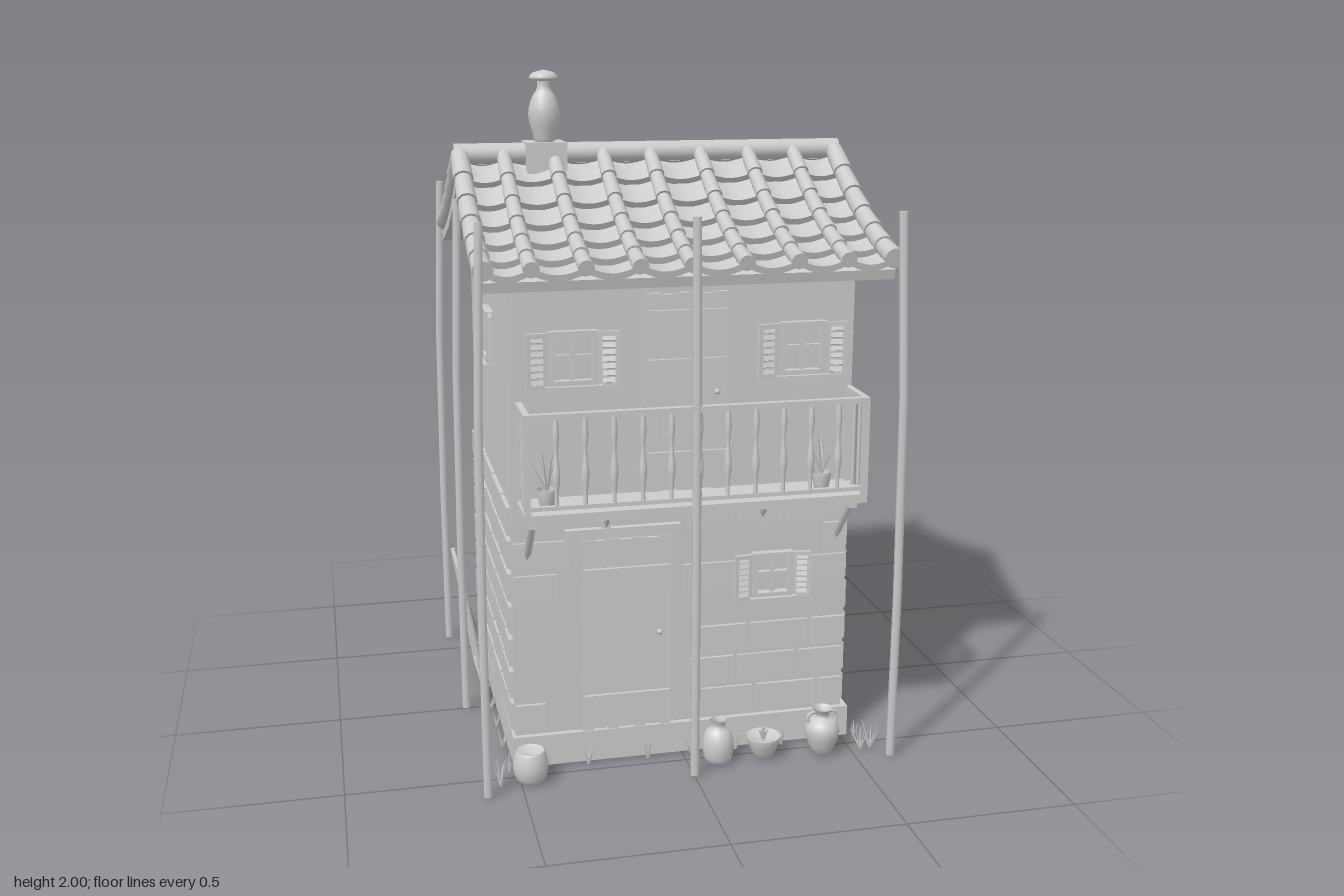
import * as THREE from 'three';
import { toCreasedNormals } from 'three/addons/utils/BufferGeometryUtils.js';

const grey = new THREE.MeshStandardMaterial({ color: 0xcccccc, side: THREE.DoubleSide });
grey.name = 'plain grey';
const V = (x, y, z) => new THREE.Vector3(x, y, z);
let seed = 7;
const rnd = () => (seed = (seed * 16807) % 2147483647) / 2147483647;

function group(name, parent) {
  const g = new THREE.Group();
  g.name = name;
  parent.add(g);
  return g;
}
function add(parent, name, geo, x = 0, y = 0, z = 0) {
  const m = new THREE.Mesh(geo, grey);
  m.name = name;
  m.position.set(x, y, z);
  parent.add(m);
  return m;
}
const box = (p, name, w, h, d, x, y, z) => add(p, name, new THREE.BoxGeometry(w, h, d), x, y, z);
// tapered round or square bar between two points
function beam(p, name, a, b, r0, r1 = r0, sides = 6) {
  const m = add(p, name, new THREE.CylinderGeometry(r1, r0, a.distanceTo(b), sides));
  m.position.copy(a).lerp(b, 0.5);
  m.quaternion.setFromUnitVectors(V(0, 1, 0), b.clone().sub(a).normalize());
  return m;
}
const lathe = (p, name, pts, x, y, z) =>
  add(p, name, new THREE.LatheGeometry(new THREE.SplineCurve(pts.map(q => new THREE.Vector2(...q))).getPoints(14), 16), x, y, z);
// side profile of [z, y] points, extruded along x
function sideExtrude(pts, x0, x1) {
  const geo = new THREE.ExtrudeGeometry(new THREE.Shape(pts.map(q => new THREE.Vector2(...q))), { depth: x1 - x0, bevelEnabled: false });
  return geo.rotateY(-Math.PI / 2).translate(x1, 0, 0);
}

// roof slope centre lines, from ridge to eave
const slopes = [
  new THREE.QuadraticBezierCurve3(V(0, 1.755, 0), V(0, 1.55, 0.285), V(0, 1.485, 0.545)),
  new THREE.QuadraticBezierCurve3(V(0, 1.755, 0), V(0, 1.55, -0.302), V(0, 1.49, -0.595)),
];
// point on a slope at x, raised by d along the slope's normal
function onSlope(c, t, x, d) {
  const p = c.getPoint(t), k = c.getTangent(t), s = Math.sign(k.z);
  return V(x, p.y + d * k.z * s, p.z - d * k.y * s);
}

const ROWS = 6, coverX = [-0.575, -0.445, -0.295, -0.145, 0, 0.155, 0.305, 0.45, 0.585];

function panGeometry(c, x0, x1) {
  const n = 8, pos = [], idx = [];
  for (let r = 0; r < ROWS; r++)
    for (const [f, lift] of [[0, -0.012], [1, 0.008], [1, -0.012]])
      for (let i = 0; i <= n; i++) {
        const u = i / n;
        pos.push(...onSlope(c, (r + f) / ROWS, x0 + (x1 - x0) * u, lift - 0.022 * Math.sin(Math.PI * u)).toArray());
      }
  for (let j = 0; j < ROWS * 3 - 1; j++)
    for (let i = 0; i < n; i++) {
      const a = j * (n + 1) + i, b = a + n + 1;
      if (c === slopes[0]) idx.push(a, b, a + 1, a + 1, b, b + 1);
      else idx.push(a, a + 1, b, a + 1, b + 1, b);
    }
  const g = new THREE.BufferGeometry();
  g.setAttribute('position', new THREE.Float32BufferAttribute(pos, 3));
  g.setIndex(idx);
  return toCreasedNormals(g, 0.6);
}

function buildRoof(root) {
  const roof = group('roof', root);
  for (const c of slopes) {
    const ts = [0, 0.2, 0.4, 0.6, 0.8, 0.985];
    const flat = (t, d) => { const p = onSlope(c, t, 0, d); return [t === 0 ? 0 : p.z, p.y]; };
    const prof = [...ts.map(t => flat(t, -0.034)), ...ts.reverse().map(t => flat(t, -0.064))];
    add(roof, 'roofDeck', sideExtrude(prof, -0.585, 0.595));
    for (let i = 0; i < coverX.length; i++) {
      if (i) add(roof, 'panTiles', panGeometry(c, coverX[i - 1], coverX[i]));
      const r = i % 8 === 0 ? 0.028 : 0.022;
      for (let k = 0; k < ROWS; k++)
        beam(roof, 'coverTile', onSlope(c, k / ROWS, coverX[i], 0), onSlope(c, (k + 1) / ROWS, coverX[i], 0.003), r * 0.92, r * 1.08, 12);
    }
  }
  beam(roof, 'ridge', V(-0.59, 1.755, -0.015), V(0.6, 1.755, -0.015), 0.032, 0.032, 12);
  // chimney: block, urn and cap
  box(roof, 'chimneyBase', 0.12, 0.1, 0.12, -0.32, 1.74, -0.015);
  lathe(roof, 'chimneyUrn', [[0, 0], [0.026, 0], [0.034, 0.025], [0.048, 0.085], [0.036, 0.135], [0.02, 0.16], [0.02, 0.185]], -0.32, 1.785, -0.01);
  lathe(roof, 'chimneyCap', [[0.012, -0.005], [0.042, 0], [0.034, 0.018], [0, 0.028]], -0.32, 1.972, -0.01);
}

// window facing +z, with bars, sill and louvred shutters
function buildWindow(root, x, y, z, turn, s = 1) {
  const w = group('window', root);
  w.position.set(x, y, z);
  w.rotation.y = turn;
  w.scale.set(s, s, 1);
  for (const k of [-1, 1]) {
    box(w, 'frameSide', 0.018, 0.15, 0.03, k * 0.062, 0, 0.005);
    box(w, 'frameRail', 0.14, 0.018, 0.03, 0, k * 0.07, 0.005);
    const sh = group('shutter', w);
    sh.position.set(k * 0.102, -0.005, 0.012);
    sh.rotation.y = -k * 0.12;
    for (const q of [-1, 1]) {
      box(sh, 'stile', 0.012, 0.16, 0.012, q * 0.024, 0, 0);
      box(sh, 'rail', 0.06, 0.014, 0.012, 0, q * 0.073, 0);
    }
    for (let i = 0; i < 7; i++) box(sh, 'slat', 0.04, 0.014, 0.006, 0, -0.06 + i * 0.02, 0).rotation.x = -0.4;
  }
  box(w, 'barUpright', 0.012, 0.14, 0.016, 0, 0, 0.003);
  box(w, 'barAcross', 0.12, 0.012, 0.016, 0, 0.005, 0.003);
  box(w, 'sill', 0.16, 0.016, 0.045, 0, -0.083, 0.01);
}

// courses of stone on a wall facing +z before turning; holes are [x0, x1, y0, y1]
function buildStones(root, turn, half, shift, face, holes) {
  const g = group('stones', root);
  g.rotation.y = turn;
  for (let r = 0; r < 7; r++) {
    const y = 0.15 + r * 0.1;
    let x = -half;
    while (x < half - 0.02) {
      let w = 0.1 + rnd() * 0.13;
      if (half - x - w < 0.07) w = half - x;
      const a = x + shift + 0.007, b = x + shift + w - 0.007;
      if (!holes.some(h => b > h[0] && a < h[1] && y + 0.04 > h[2] && y - 0.04 < h[3]))
        box(g, 'stone', b - a, 0.084, 0.03, (a + b) / 2, y, face(y) - 0.007 + rnd() * 0.003);
      x += w;
    }
  }
}

function buildDoor(root, name, x, y0, w, h, z, planks, straps) {
  const d = group(name, root);
  for (let i = 0; i < planks; i++)
    box(d, 'plank', w / planks - 0.005, h - (i % 2) * 0.008, 0.024, x - w / 2 + (i + 0.5) * w / planks, y0 + h / 2, z);
  for (const s of straps) box(d, 'strap', w * 0.95, 0.025, 0.012, x, s, z + 0.016);
  add(d, 'handle', new THREE.SphereGeometry(0.009, 8, 6), x + w * 0.36, y0 + h * 0.5, z + 0.018);
}

function plant(p, x, y, z, h, n) {
  const g = group('plant', p);
  for (let i = 0; i < n; i++) {
    const a = i * 2.4 + rnd(), r = h * (0.15 + rnd() * 0.25);
    beam(g, 'leaf', V(x, y, z), V(x + Math.cos(a) * r, y + h * (0.6 + rnd() * 0.4), z + Math.sin(a) * r), 0.004, 0.001, 4);
  }
}

function buildBalcony(root) {
  const b = group('balcony', root);
  box(b, 'balconyFloor', 0.985, 0.025, 0.165, 0.008, 0.81, 0.53);
  box(b, 'topRail', 0.985, 0.016, 0.02, 0.008, 1.098, 0.604);
  box(b, 'bottomRail', 0.985, 0.012, 0.014, 0.008, 0.84, 0.604);
  for (const x of [-0.475, 0.492]) {
    box(b, 'sideRail', 0.018, 0.016, 0.16, x, 1.098, 0.53);
    for (const z of [0.46, 0.604]) box(b, 'post', 0.018, 0.28, 0.018, x, 0.96, z);
    for (const z of [0.51, 0.555]) beam(b, 'baluster', V(x, 0.82, z), V(x, 1.095, z), 0.006);
  }
  const baluster = [[0.006, 0], [0.006, 0.04], [0.011, 0.09], [0.005, 0.15], [0.009, 0.2], [0.006, 0.25]];
  for (let i = 1; i < 12; i++) lathe(b, 'baluster', baluster, -0.475 + i * 0.0806, 0.843, 0.604);
  for (const [x, d] of [[-0.46, 0.16], [-0.23, 0.08], [0.235, 0.08], [0.465, 0.16]]) {
    beam(b, 'brace', V(x, 0.8 - d, 0.445), V(x, 0.8, 0.445 + d * 0.9), 0.012, 0.012, 4);
    box(b, 'bracketFoot', 0.026, 0.05, 0.02, x, 0.8 - d, 0.458);
    box(b, 'joist', 0.022, 0.02, 0.15, x, 0.79, 0.525);
  }
  for (const x of [-0.41, 0.39]) {
    lathe(b, 'flowerPot', [[0, 0], [0.018, 0], [0.026, 0.03], [0.028, 0.05]], x, 0.823, 0.53);
    plant(b, x, 0.87, 0.53, 0.12, 9);
  }
}

export function createModel() {
  const root = new THREE.Group();
  root.name = 'house';

  // walls
  box(root, 'foundation', 1.03, 0.095, 0.96, 0.006, 0.0475, -0.028);
  add(root, 'walls', sideExtrude([[0.435, 0.05], [0.45, 0.8], [0.455, 1.45], [0, 1.7], [-0.495, 1.45], [-0.5, 0.05]], -0.5, 0.502));
  const front = y => 0.434 + y * 0.02;
  buildStones(root, 0, 0.505, 0, front, [[-0.335, -0.015, 0, 0.72], [0.17, 0.37, 0.46, 0.62]]);
  buildStones(root, Math.PI / 2, 0.46, 0.03, () => 0.504, [[-0.2, 0.03, 0.47, 0.62]]);
  buildStones(root, Math.PI, 0.505, 0, () => 0.499, []);
  buildStones(root, -Math.PI / 2, 0.46, -0.03, () => 0.502, []);
  buildRoof(root);

  // doors and windows
  buildDoor(root, 'frontDoor', -0.17, 0.1, 0.27, 0.59, 0.447, 7, [0.2, 0.59]);
  box(root, 'doorLintel', 0.34, 0.03, 0.04, -0.18, 0.71, 0.45);
  buildDoor(root, 'balconyDoor', 0.005, 0.825, 0.24, 0.575, 0.456, 5, [0.93, 1.2, 1.34]);
  buildWindow(root, -0.322, 1.225, 0.455, 0);
  buildWindow(root, 0.345, 1.225, 0.455, 0);
  buildWindow(root, 0.27, 0.545, 0.45, 0, 0.88);
  buildWindow(root, 0.506, 1.225, 0.08, Math.PI / 2);
  buildWindow(root, 0.508, 0.545, 0.085, Math.PI / 2, 0.88);
  buildWindow(root, -0.504, 1.225, 0.06, -Math.PI / 2);
  buildWindow(root, 0.06, 1.225, -0.498, Math.PI);
  box(root, 'flowerBox', 0.05, 0.045, 0.14, 0.555, 1.085, 0.1);
  for (let i = 0; i < 4; i++) plant(root, 0.56, 1.1, 0.05 + i * 0.035, 0.1, 5);
  buildBalcony(root);

  // ring of tall poles, bowed slightly
  for (const x of [-1, 0, 1]) for (const z of [-1, 0, 1]) {
    if (!x && !z) continue;
    const at = (k, y) => V(x * 0.6 * k, y, z * 0.602 * k);
    const pole = group('pole', root);
    [[1.005, 0], [1.01, 0.5], [1.005, 1.1], [0.98, 1.625]].forEach((q, i, l) => {
      if (i) beam(pole, 'poleSection', at(...l[i - 1]), at(...q), 0.013, 0.013, 6);
    });
  }

  // leaning frame on the right-hand side of the house
  const lean = group('leaningFrame', root);
  const pt = (t, z) => V(-0.535 - 0.07 * t, 0.005 + 0.425 * t, z);
  for (const z of [-0.31, -0.01]) beam(lean, 'rail', pt(0, z), pt(1, z), 0.009);
  for (const t of [0.08, 0.98]) beam(lean, 'crossBar', pt(t, -0.32), pt(t, 0), 0.008);

  // pots by the front wall
  lathe(root, 'barrel', [[0, 0], [0.038, 0], [0.052, 0.045], [0.042, 0.09], [0.034, 0.088], [0, 0.08]], -0.47, 0, 0.53);
  lathe(root, 'jar', [[0, 0], [0.036, 0], [0.047, 0.05], [0.038, 0.09], [0.02, 0.11], [0.024, 0.13]], 0.09, 0, 0.53);
  lathe(root, 'bowl', [[0, 0], [0.025, 0], [0.046, 0.04], [0.052, 0.065], [0.044, 0.062], [0, 0.05]], 0.23, 0, 0.53);
  plant(root, 0.23, 0.05, 0.53, 0.045, 12);
  lathe(root, 'amphora', [[0, 0], [0.028, 0], [0.052, 0.065], [0.04, 0.1], [0.018, 0.115], [0.03, 0.14]], 0.41, 0, 0.54);
  for (const k of [-1, 1])
    add(root, 'amphoraHandle', new THREE.TorusGeometry(0.018, 0.005, 6, 12), 0.41 + k * 0.028, 0.11, 0.54);

  // grass tufts around the foundation
  for (let i = 0; i < 7; i++) {
    const q = -0.45 + i * 0.15 + rnd() * 0.04;
    for (const [x, z] of [[q, 0.47], [q, -0.525], [0.54, q], [-0.525, q]]) plant(root, x, 0, z, 0.06, 4);
  }
  for (const x of [-0.56, 0.53, 0.56]) plant(root, x, 0, 0.55, 0.085, 6);
  return root;
}
